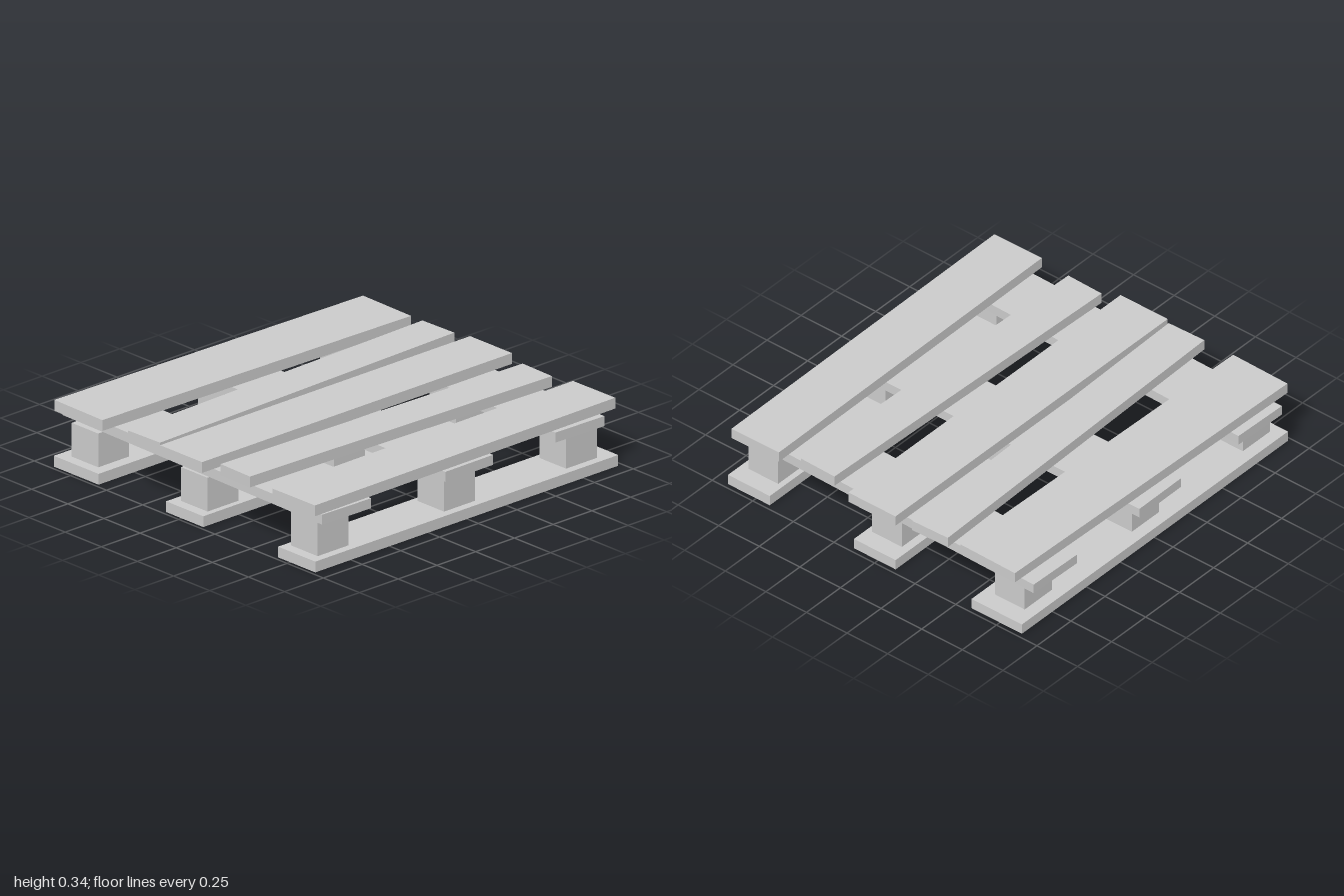
import * as THREE from 'three';

const material = new THREE.MeshStandardMaterial({ color: 0xcccccc, flatShading: true });

// Box centred on x and z, resting between heights y0 and y1, turned slightly about y
function plank(name, x, z, width, depth, y0, y1, turn = 0) {
  const mesh = new THREE.Mesh(new THREE.BoxGeometry(width, y1 - y0, depth), material);
  mesh.name = name;
  mesh.position.set(x, (y0 + y1) / 2, z);
  mesh.rotation.y = turn;
  return mesh;
}

export function createModel() {
  const pallet = new THREE.Group();
  pallet.name = 'pallet';

  // Bottom runners: z, depth
  for (const [z, depth] of [[0.795, 0.257], [0.02, 0.257], [-0.731, 0.31]]) {
    pallet.add(plank('bottomBoard', -0.003, z, 1.955, depth, 0, 0.055));
  }

  // Nine spacer blocks
  for (const x of [-0.826, -0.01, 0.777]) {
    for (const z of [0.789, 0.027, -0.729]) {
      pallet.add(plank('spacerBlock', x, z, 0.199, 0.184, 0.055, 0.227));
    }
  }

  // Stringers running front to back, laid a little crooked: x, turn
  for (const [x, turn] of [[-0.755, -0.0216], [0.007, 0.0092], [0.75, -0.0216]]) {
    pallet.add(plank('stringer', x, 0, 0.31, 1.841, 0.227, 0.278, turn));
  }

  // Uneven deck boards, back to front: x, z, length, depth, turn
  const deck = [
    [-0.005, -0.694, 1.955, 0.34, -0.0205],
    [-0.005, -0.289, 1.955, 0.214, 0.03],
    [0, 0.016, 2, 0.29, 0],
    [-0.005, 0.369, 1.9, 0.21, -0.028],
    [-0.003, 0.766, 1.955, 0.29, 0.0096],
  ];
  for (const [x, z, length, depth, turn] of deck) {
    pallet.add(plank('deckBoard', x, z, length, depth, 0.285, 0.34, turn));
  }

  return pallet;
}
